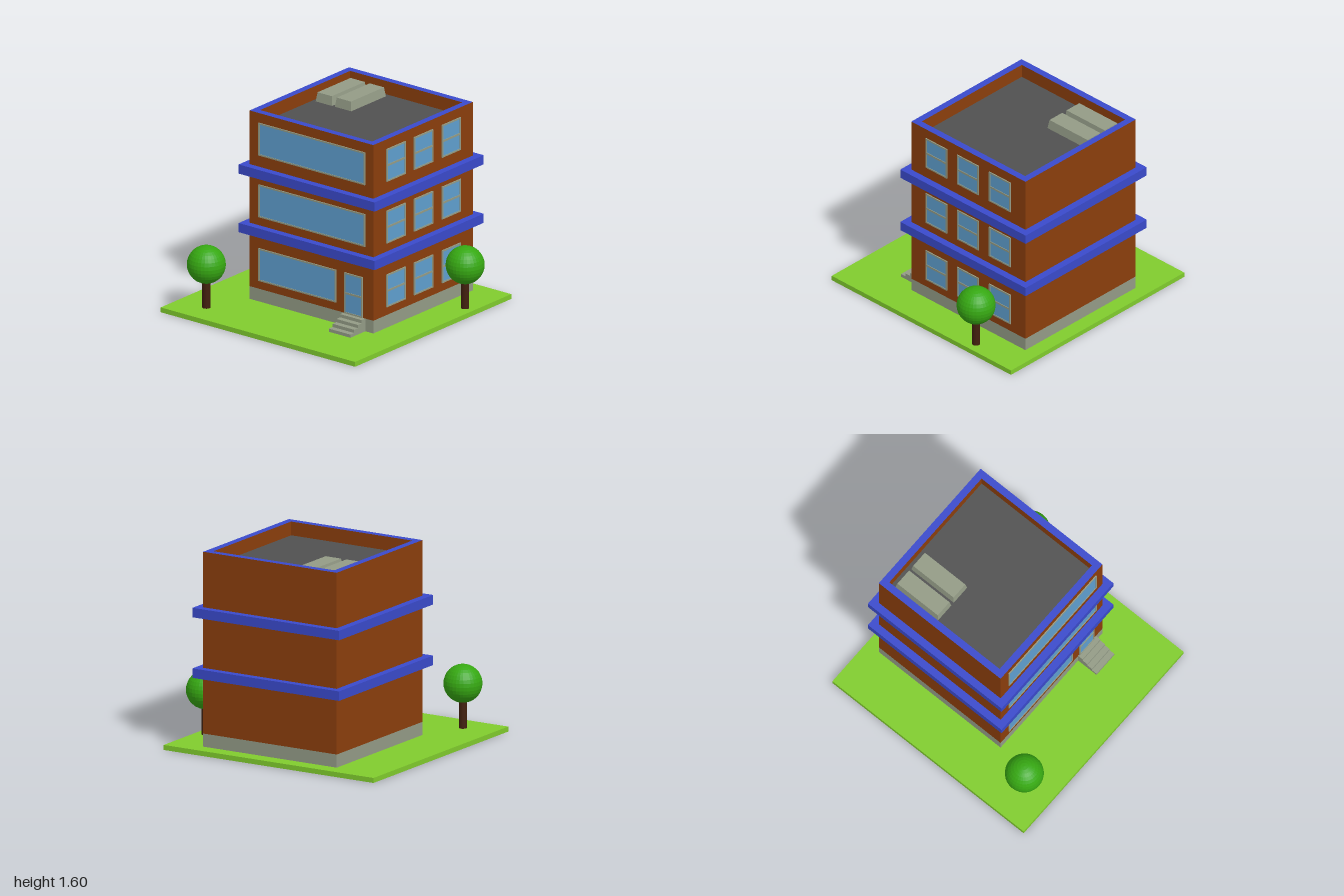
import * as THREE from 'three';

const mat = (name, color) => {
  const m = new THREE.MeshStandardMaterial({ color });
  m.name = name;
  return m;
};

export function createModel() {
  const brick = mat('brick', 0x8b3e0c);
  const blue = mat('blue trim', 0x3a4acb);
  const stone = mat('stone', 0x939b86);
  const glass = mat('glass', 0x5f9fcf);
  const roofGrey = mat('roof grey', 0x515151);
  const grass = mat('grass', 0x80cc2d);
  const leaf = mat('leaf', 0x36a812);
  const bark = mat('bark', 0x42200e);

  const model = new THREE.Group();
  model.name = 'apartmentBlock';

  const add = (parent, name, geo, material, x = 0, y = 0, z = 0) => {
    const m = new THREE.Mesh(geo, material);
    m.name = name;
    m.position.set(x, y, z);
    parent.add(m);
    return m;
  };
  // Box from minimum and maximum corners
  const box = (parent, name, material, x0, x1, y0, y1, z0, z1) =>
    add(parent, name, new THREE.BoxGeometry(x1 - x0, y1 - y0, z1 - z0), material,
      (x0 + x1) / 2, (y0 + y1) / 2, (z0 + z1) / 2);
  const rect = (Type, x0, x1, y0, y1) => new Type([
    new THREE.Vector2(x0, y0), new THREE.Vector2(x1, y0),
    new THREE.Vector2(x1, y1), new THREE.Vector2(x0, y1)]);
  // Square ring standing upright
  const ring = (outer, inner, height) => {
    const s = rect(THREE.Shape, -outer, outer, -outer, outer);
    s.holes.push(rect(THREE.Path, -inner, inner, -inner, inner));
    return new THREE.ExtrudeGeometry(s, { depth: height, bevelEnabled: false }).rotateX(-Math.PI / 2);
  };

  // Lawn
  box(model, 'lawn', grass, -0.968, 0.967, 0, 0.04, -1, 0.935);

  // Building, centred on its own axis
  const CX = 0.23, CZ = 0.033, R = 0.616;
  const building = new THREE.Group();
  building.name = 'building';
  building.position.set(CX, 0, CZ);
  model.add(building);
  box(building, 'plinth', stone, -R, R, 0.04, 0.145, -R, R);
  add(building, 'walls', ring(R, 0.558, 1.455), [blue, brick], 0, 0.145, 0);
  box(building, 'roof', roofGrey, -0.56, 0.56, 1.47, 1.49, -0.56, 0.56);
  for (const y of [0.595, 1.08]) add(building, 'floorBand', ring(R + 0.06, R - 0.02, 0.076), blue, 0, y, 0);

  // Framed window facing +z, split by an optional cross bar
  const makeWindow = (name, w, h, bar) => {
    const g = new THREE.Group();
    g.name = name;
    const f = 0.012, x = w / 2, y = h / 2;
    const s = rect(THREE.Shape, -x, x, -y, y);
    if (bar) {
      s.holes.push(rect(THREE.Path, -x + f, x - f, -y + f, -0.008));
      s.holes.push(rect(THREE.Path, -x + f, x - f, 0.008, y - f));
    } else s.holes.push(rect(THREE.Path, -x + f, x - f, -y + f, y - f));
    add(g, 'frame', new THREE.ExtrudeGeometry(s, { depth: 0.009, bevelEnabled: false }), stone);
    add(g, 'pane', new THREE.BoxGeometry(w - f, h - f, 0.004), glass, 0, 0, 0.002);
    return g;
  };
  const place = (w, x, y, z, turn = 0) => {
    w.position.set(x, y, z);
    w.rotation.y = turn;
    model.add(w);
  };

  // Front sash windows, and long side windows
  const front = CZ + R, side = CX - R;
  for (const y of [0.347, 0.875, 1.386]) {
    for (const x of [-0.11, 0.23, 0.575]) place(makeWindow('frontWindow', 0.232, 0.27, true), x, y, front);
    const z0 = -0.49, z1 = y < 0.5 ? 0.28 : 0.57;
    place(makeWindow('sideWindow', z1 - z0, 0.27, false), side, y, (z0 + z1) / 2, -Math.PI / 2);
  }
  place(makeWindow('door', 0.18, 0.337, true), side, 0.3135, 0.455, -Math.PI / 2);

  // Entrance steps
  for (let i = 0; i < 4; i++) {
    box(model, 'step', stone, -0.572 + i * 0.047, side + 0.001, 0.04 + i * 0.026, 0.066 + i * 0.0263, 0.355, 0.57);
  }

  // Rooftop units with slightly tapered sides
  for (const z of [-0.413, -0.222]) {
    const geo = new THREE.BoxGeometry(0.43, 0.075, 0.163);
    const p = geo.attributes.position;
    for (let i = 0; i < p.count; i++) {
      if (p.getY(i) > 0) p.setXYZ(i, p.getX(i) * 0.95, p.getY(i), p.getZ(i) * 0.87);
    }
    geo.computeVertexNormals();
    add(model, 'rooftopUnit', geo, stone, 0.537, 1.5275, z);
  }

  // Trees with faceted crowns
  const crown = new THREE.SphereGeometry(0.152, 32, 16).toNonIndexed();
  crown.computeVertexNormals();
  const trunk = new THREE.CylinderGeometry(0.032, 0.032, 0.24, 20);
  for (const [x, z] of [[-0.745, -0.725], [0.505, 0.847]]) {
    const tree = new THREE.Group();
    tree.name = 'tree';
    tree.position.set(x, 0, z);
    add(tree, 'trunk', trunk, bark, 0, 0.16, 0);
    add(tree, 'crown', crown, leaf, 0, 0.397, 0);
    model.add(tree);
  }
  return model;
}
